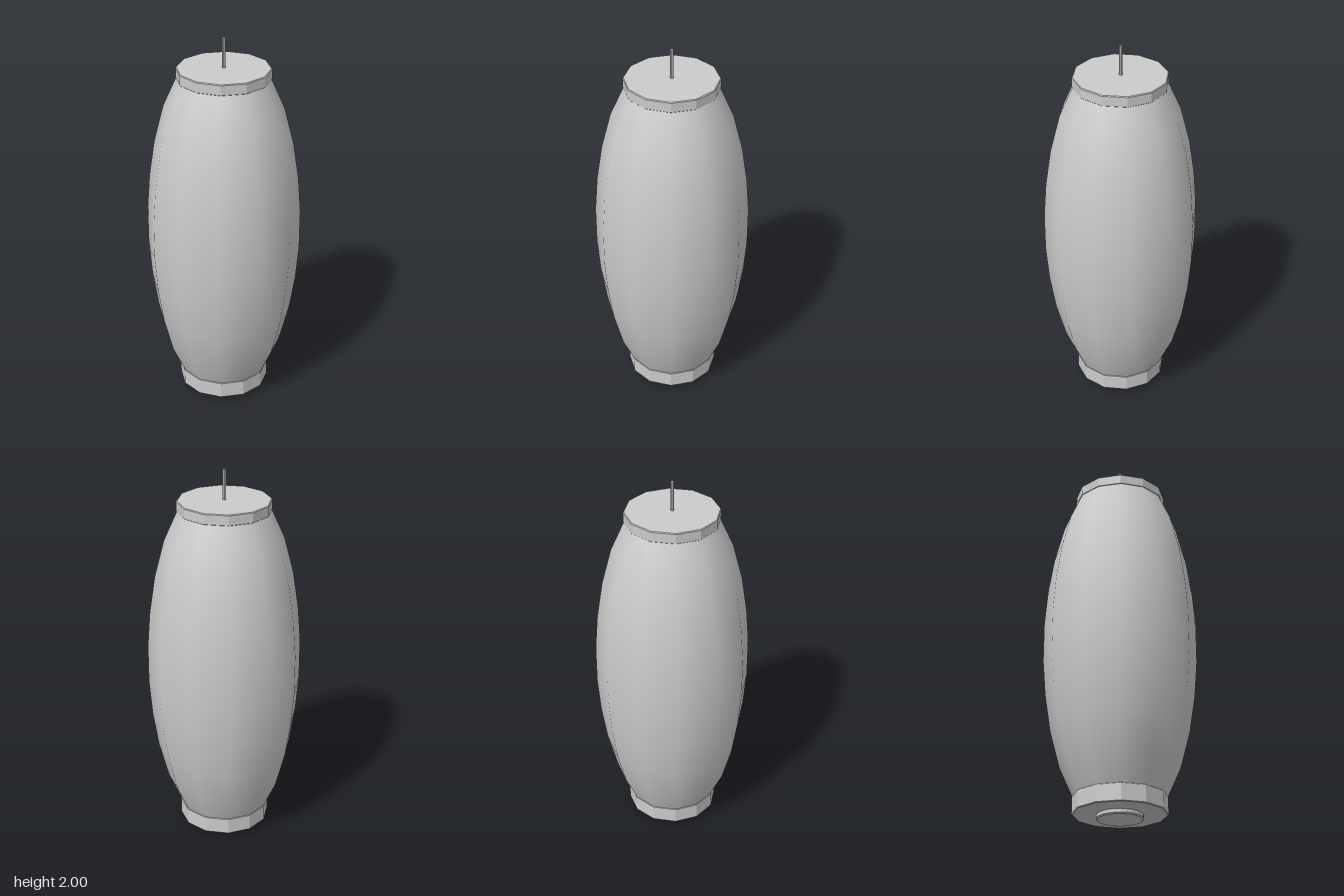
import * as THREE from 'three';

const SIDES = 12;

// Surface of revolution around y from [radius, height] pairs, bottom to top
function turned(name, profile, sides, flatShading) {
  const points = profile.map(([r, y]) => new THREE.Vector2(r, y));
  const material = new THREE.MeshStandardMaterial({ color: 0xcccccc, flatShading });
  const mesh = new THREE.Mesh(new THREE.LatheGeometry(points, sides), material);
  mesh.name = name;
  return mesh;
}

// Closed disc with a narrow bevel on both rims
function disc(name, radius, bottom, top, bevel, sides) {
  return turned(name, [
    [0, bottom], [radius - bevel, bottom], [radius, bottom + bevel],
    [radius, top - bevel], [radius - bevel, top], [0, top],
  ], sides, true);
}

export function createModel() {
  const group = new THREE.Group();
  group.name = 'paperLantern';

  // Bulging shade, symmetric about its middle
  const middle = 0.955;
  const upper = [[0.4, 0.105], [0.385, 0.295], [0.355, 0.49], [0.305, 0.683], [0.235, 0.84]];
  const profile = [
    ...upper.map(([r, h]) => [r, middle - h]).reverse(),
    ...upper.map(([r, h]) => [r, middle + h]),
  ];
  group.add(turned('shade', profile, SIDES, false));

  // End caps and the small disc underneath
  group.add(disc('topCap', 0.24, 1.787, 1.845, 0.004, SIDES));
  group.add(disc('bottomCap', 0.24, 0.028, 0.122, 0.004, SIDES));
  group.add(disc('baseDisc', 0.118, 0.003, 0.032, 0.006, 24));

  // Hanging wire
  group.add(disc('hangingWire', 0.009, 1.84, 2, 0.002, 8));

  return group;
}
